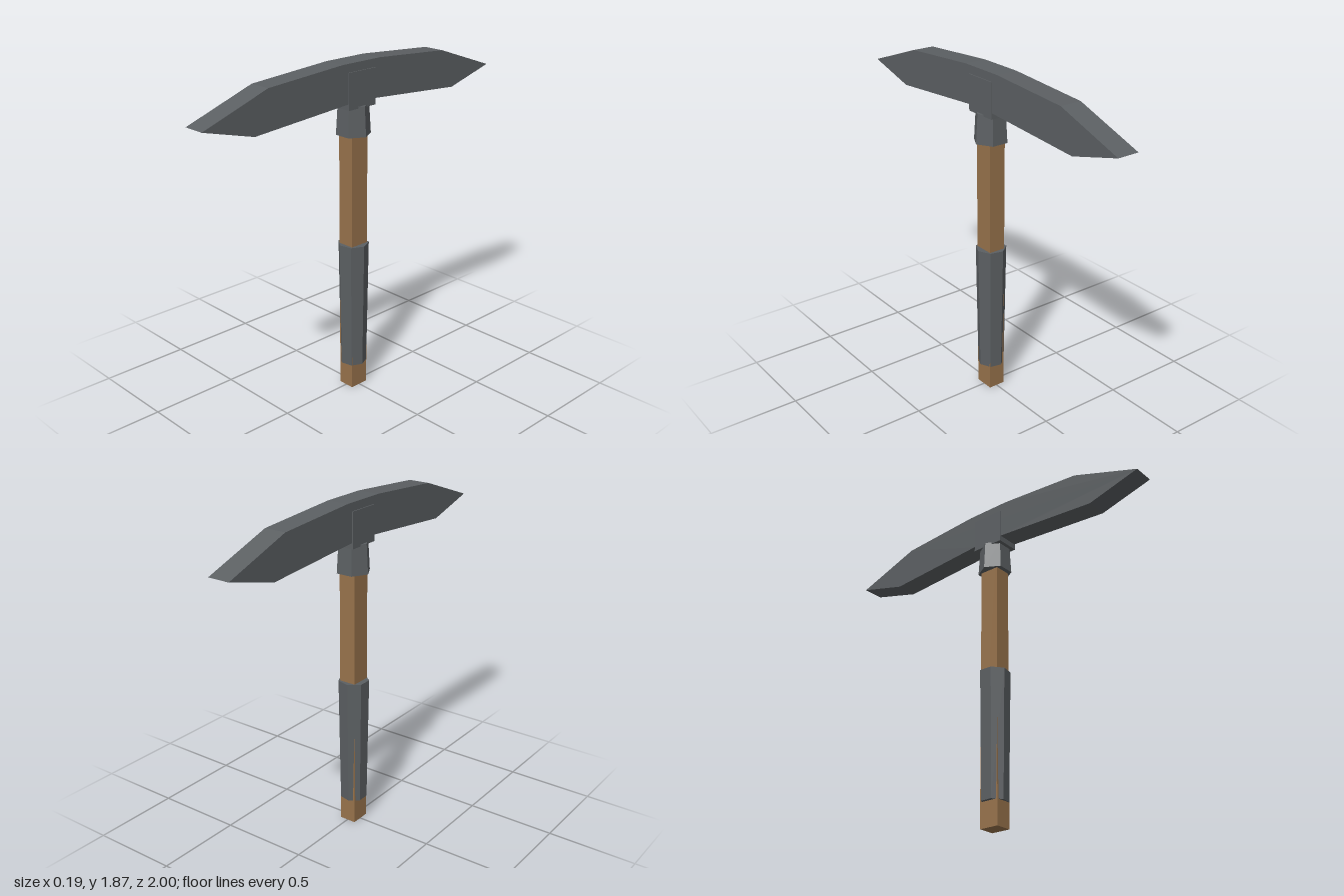
import * as THREE from 'three';

export function createModel() {
  const group = new THREE.Group();
  const material = (name, color) => {
    const m = new THREE.MeshStandardMaterial({ color, flatShading: true });
    m.name = name;
    return m;
  };
  const wood = material('wood', 0x97724b);
  const steel = material('steel', 0x5b5f62);

  const add = (name, geometry, mat, x, y) => {
    const mesh = new THREE.Mesh(geometry, mat);
    mesh.name = name;
    mesh.position.set(x, y, 0);
    group.add(mesh);
  };
  // Tapered prism between two heights, with one corner pointing to +x
  const prism = (name, rTop, rBottom, y0, y1, sides, x) =>
    add(name, new THREE.CylinderGeometry(rTop, rBottom, y1 - y0, sides, 1, false, Math.PI / 2),
      steel, x, (y0 + y1) / 2);

  // Square wooden shaft
  add('handle', new THREE.BoxGeometry(0.096, 1.64, 0.113), wood, -0.001, 0.82);

  // Seven-sided grip, narrower at the bottom
  prism('grip', 0.0855, 0.0745, 0.14, 0.863, 7, -0.002);

  // Six-sided collar under the head, and the block that clasps the head
  prism('collar', 0.084, 0.094, 1.478, 1.64, 6, 0);
  add('headSocket', new THREE.BoxGeometry(0.134, 0.195, 0.188), steel, 0, 1.7275);

  // Double-ended pick head: half outline mirrored front to back
  const upper = [[1, 1.7], [0.61, 1.836], [0.13, 1.87]];
  const lower = [[0.1, 1.662], [0.7, 1.618]];
  const mirror = (pts) => pts.map(([z, y]) => [-z, y]).reverse();
  const outline = [...upper, ...mirror(upper), ...mirror(lower), ...lower];
  const shape = new THREE.Shape(outline.map(([z, y]) => new THREE.Vector2(z, y)));
  const width = 0.123;
  const head = new THREE.ExtrudeGeometry(shape, { depth: width, bevelEnabled: false });
  head.translate(0, 0, -width / 2).rotateY(-Math.PI / 2);
  add('pickHead', head, steel, 0, 0);

  return group;
}
